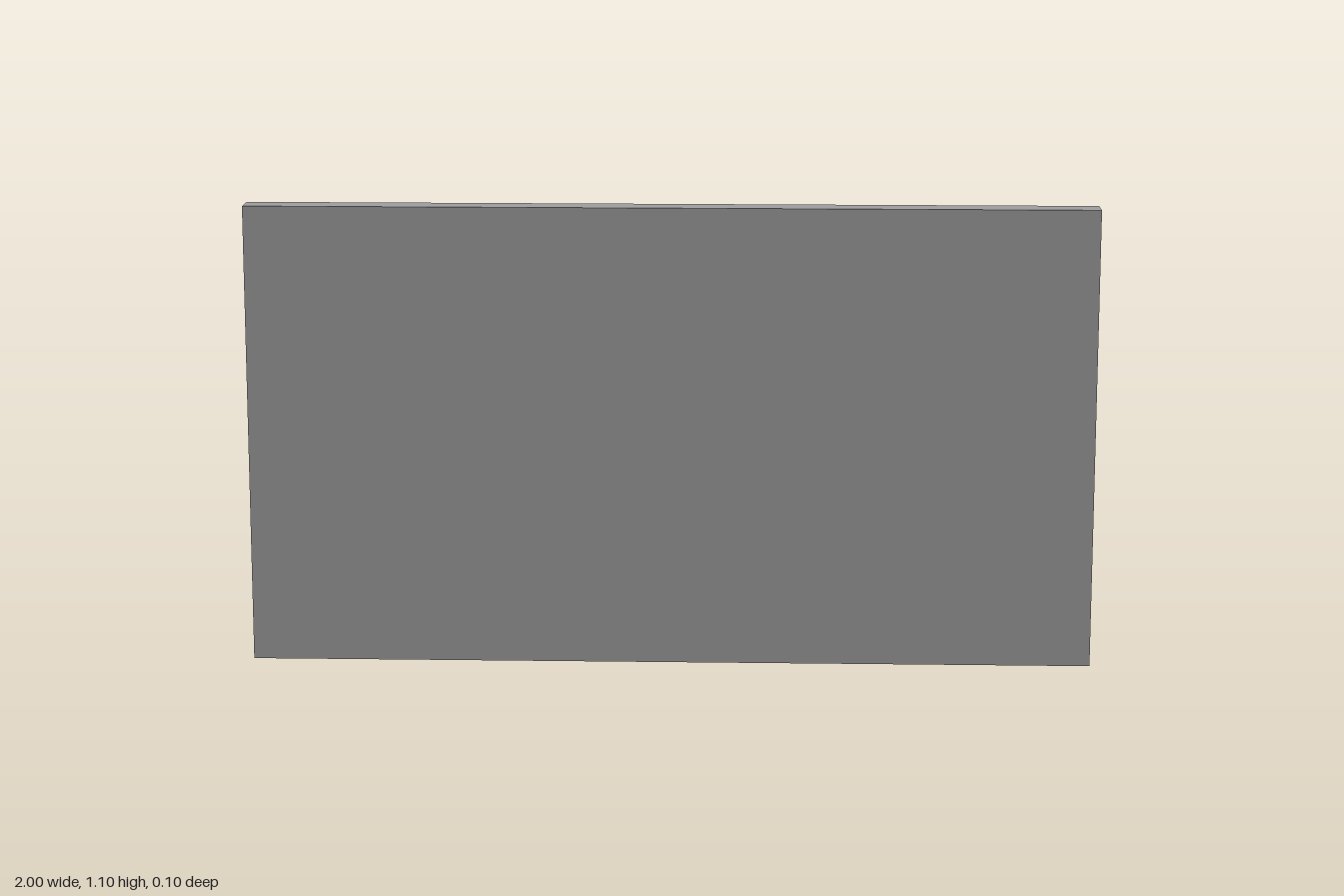
import * as THREE from 'three';

const material = new THREE.MeshStandardMaterial({ color: 0x9e9e9e, flatShading: true });

// Lofts a stack of rectangles [x0, x1, y0, y1, z] running towards -z, capped at the last one
function loftGeometry(rings) {
  const pos = [], idx = [];
  for (const [x0, x1, y0, y1, z] of rings) {
    pos.push(x0, y0, z, x1, y0, z, x1, y1, z, x0, y1, z);
  }
  for (let r = 0; r < rings.length - 1; r++) {
    for (let k = 0; k < 4; k++) {
      const a = r * 4 + k, b = r * 4 + (k + 1) % 4;
      idx.push(a, a + 4, b, b, a + 4, b + 4);
    }
  }
  const e = (rings.length - 1) * 4;
  idx.push(e, e + 3, e + 2, e, e + 2, e + 1);
  const indexed = new THREE.BufferGeometry();
  indexed.setAttribute('position', new THREE.Float32BufferAttribute(pos, 3));
  indexed.setIndex(idx);
  const geo = indexed.toNonIndexed();
  geo.computeVertexNormals();
  return geo;
}

const points = list => list.map(p => new THREE.Vector2(...p));

export function createModel() {
  const group = new THREE.Group();
  const add = (geometry, name) => {
    const mesh = new THREE.Mesh(geometry, material);
    mesh.name = name;
    group.add(mesh);
    return mesh;
  };

  // Plain backing slab
  const height = 1.095;
  add(new THREE.BoxGeometry(2, height, 0.07), 'slab').position.set(0, height / 2, 0.015);

  // Panel grid: face extents, and the foot extents of the sloping edges
  const columns = [
    { face: [-0.98, -0.75], foot: [-0.995, -0.735] },
    { face: [-0.695, -0.475], foot: [-0.71, -0.46] },
    { face: [-0.438, 0.492], foot: [-0.448, 0.503] },
    { face: [0.525, 0.735], foot: [0.512, 0.75] },
    { face: [0.78, 0.97], foot: [0.765, 0.99] },
  ];
  const rows = [
    { face: [0.04, 0.212], foot: [0.008, 0.243], z: -0.048 },
    { face: [0.286, 0.565], foot: [0.262, 0.592], z: -0.05 },
    { face: [0.624, 1.073], foot: [0.604, 1.083], z: -0.05 },
  ];
  const undercut = 0.007;
  rows.forEach((row, j) => columns.forEach((col, i) => {
    if (j === 2 && i === 2) return; // the large upper panel goes here
    const [x0, x1] = col.face, [y0, y1] = row.face;
    const waist = [x0 + undercut, x1 - undercut, y0 + undercut, y1 - undercut];
    add(loftGeometry([
      [...col.foot, ...row.foot, -0.02],
      [...waist, -0.037],
      [...waist, -0.041],
      [x0, x1, y0, y1, row.z],
    ]), 'panel');
  }));

  // Large upper panel: a thin frame around a pane that leans back towards the bottom
  const frame = new THREE.Shape(points([
    [-0.438, 0.625], [0.488, 0.625], [0.488, 1.086], [-0.438, 1.086],
  ]));
  frame.holes.push(new THREE.Path(points([
    [-0.418, 0.642], [-0.428, 1.066], [0.478, 1.066], [0.468, 0.642],
  ])));
  add(new THREE.ExtrudeGeometry(frame, { depth: 0.03, bevelEnabled: false }), 'upperFrame')
    .position.z = -0.05;
  const pane = add(new THREE.BoxGeometry(0.915, 0.44, 0.012), 'upperPane');
  pane.position.set(0.025, 0.855, -0.032);
  pane.rotation.x = -0.035;

  // Sloping foot around the large panel
  add(loftGeometry([
    [-0.445, 0.498, 0.604, 1.088, -0.02],
    [-0.438, 0.488, 0.625, 1.086, -0.03],
  ]), 'upperFrameFoot');

  return group;
}
